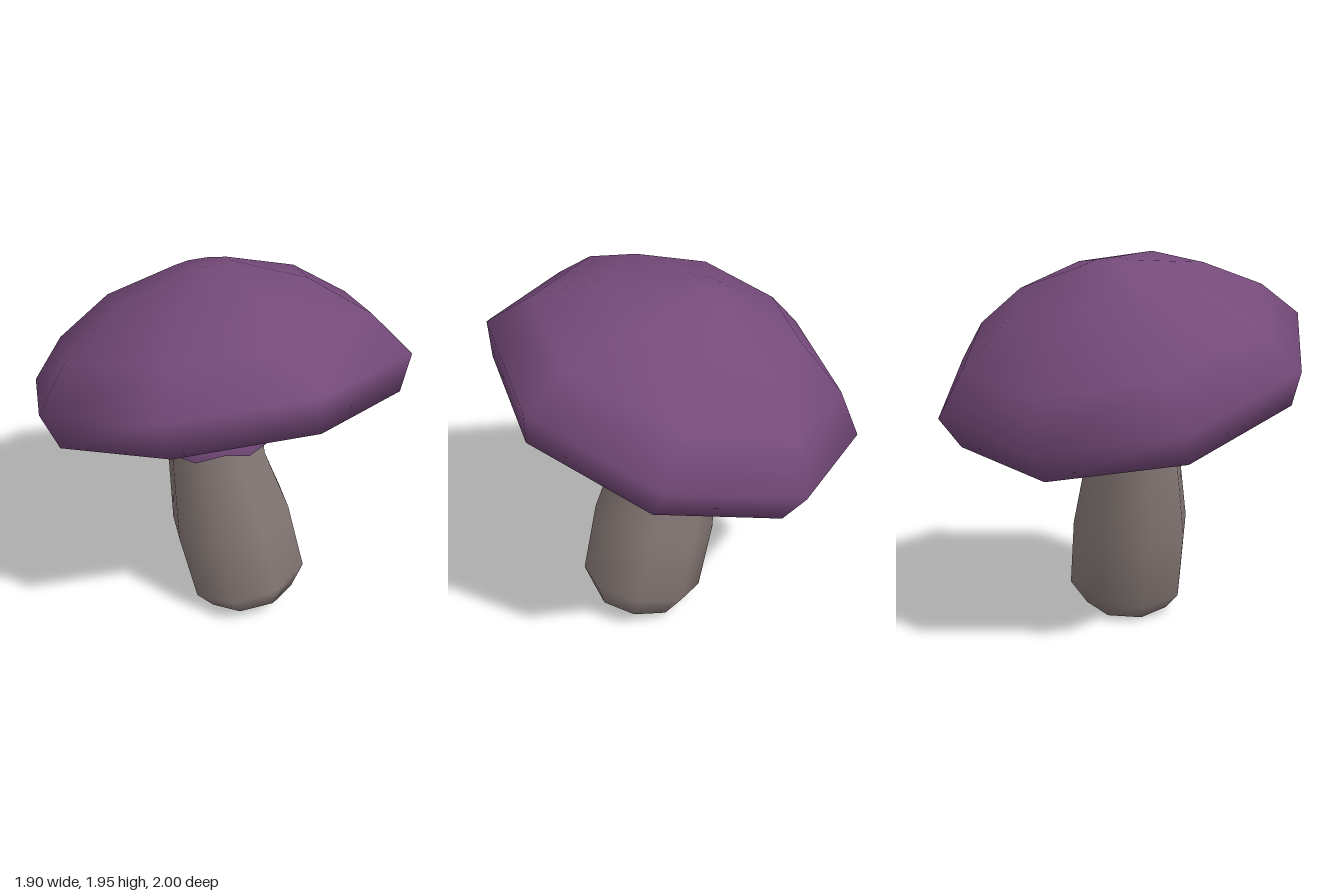
import * as THREE from 'three';

// Smooth skin through rings of points listed bottom to top; ends may be closed with fans.
function loft(rings, closeStart, closeEnd) {
  const n = rings[0].length;
  const pos = rings.flat().flatMap((p) => [p.x, p.y, p.z]);
  const index = [];
  for (let i = 0; i < rings.length - 1; i++) {
    for (let j = 0; j < n; j++) {
      const a = i * n + j;
      const b = i * n + ((j + 1) % n);
      index.push(a, a + n, b, b, a + n, b + n);
    }
  }
  const fan = (i, flip) => {
    const c = new THREE.Vector3();
    rings[i].forEach((p) => c.addScaledVector(p, 1 / n));
    const k = pos.length / 3;
    pos.push(c.x, c.y, c.z);
    for (let j = 0; j < n; j++) {
      const a = i * n + j;
      const b = i * n + ((j + 1) % n);
      if (flip) index.push(k, a, b);
      else index.push(k, b, a);
    }
  };
  if (closeStart) fan(0, true);
  if (closeEnd) fan(rings.length - 1, false);
  const g = new THREE.BufferGeometry();
  g.setAttribute('position', new THREE.Float32BufferAttribute(pos, 3));
  g.setIndex(index);
  g.computeVertexNormals();
  return g;
}

// Ring around (cx, cy, cz), sloped by sx along x and sz along z.
function ring(n, [cx, cy, cz, r, sx, sz], wave = () => [1, 0]) {
  return Array.from({ length: n }, (_, j) => {
    const a = (j / n) * Math.PI * 2 + 0.1;
    const [k, dy] = wave(j);
    const x = Math.cos(a) * r * k;
    const z = Math.sin(a) * r * k;
    return new THREE.Vector3(cx + x, cy + sx * x + sz * z + dy, cz + z);
  });
}

export function createModel() {
  const group = new THREE.Group();
  const purple = new THREE.MeshStandardMaterial({ color: 0x754a7a });
  purple.name = 'purple';
  const purpleSkirt = purple;
  purpleSkirt.side = THREE.DoubleSide;
  const stemGrey = new THREE.MeshStandardMaterial({ color: 0x857875 });
  stemGrey.name = 'stemGrey';

  const add = (name, geometry, material) => {
    const mesh = new THREE.Mesh(geometry, material);
    mesh.name = name;
    group.add(mesh);
  };

  // Cap: one tilted octagon, scaled and shifted along the tilted axis
  const half = [[0.95, 0.1], [0.585, 0.78], [-0.12, 1], [-0.76, 0.635]];
  const rim = [...half, ...half.map(([x, z]) => [-x, -z])];
  const axis = new THREE.Vector3(-0.325, 1, -0.07).normalize();
  const capRing = ([s, h]) => rim.map(([x, z]) =>
    new THREE.Vector3(x * s, 1.4 + s * (0.325 * x + 0.07 * z), z * s).addScaledVector(axis, h));
  const capProfile = [
    [0.2, 0.0], [0.55, -0.05], [0.92, -0.19], // underside
    [1, 0], [0.823, 0.218], [0.526, 0.425], [0.145, 0.546], // dome
  ];
  add('cap', loft(capProfile.map(capRing), true, true), purple);

  // Stem: leaning, bulging at the foot
  const stemRings = [
    [0.22, 0.07, -0.055, 0.235, 0.2, -0.1],
    [0.19, 0.185, -0.055, 0.315, 0.18, -0.17],
    [0.115, 0.545, 0, 0.318, 0.2, -0.17],
    [0.043, 0.91, 0.04, 0.262, 0.18, 0],
    [0.02, 1.1, 0.035, 0.245, 0.18, 0],
    [0, 1.42, 0.03, 0.22, 0.2, 0],
  ];
  add('stem', loft(stemRings.map((r) => ring(8, r)), true, true), stemGrey);

  // Collar: flared open skirt with a scalloped hem
  const hem = (j) => (j % 2 ? [1.0, 0.022] : [0.96, -0.022]);
  add('collar', loft([
    ring(16, [0.02, 1.05, 0.05, 0.375, 0.15, 0.02], hem),
    ring(16, [0.02, 1.11, 0.05, 0.368, 0.15, 0.02]),
    ring(16, [0.0, 1.46, 0.035, 0.245, 0.2, 0.02]),
  ], false, false), purpleSkirt);

  return group;
}
